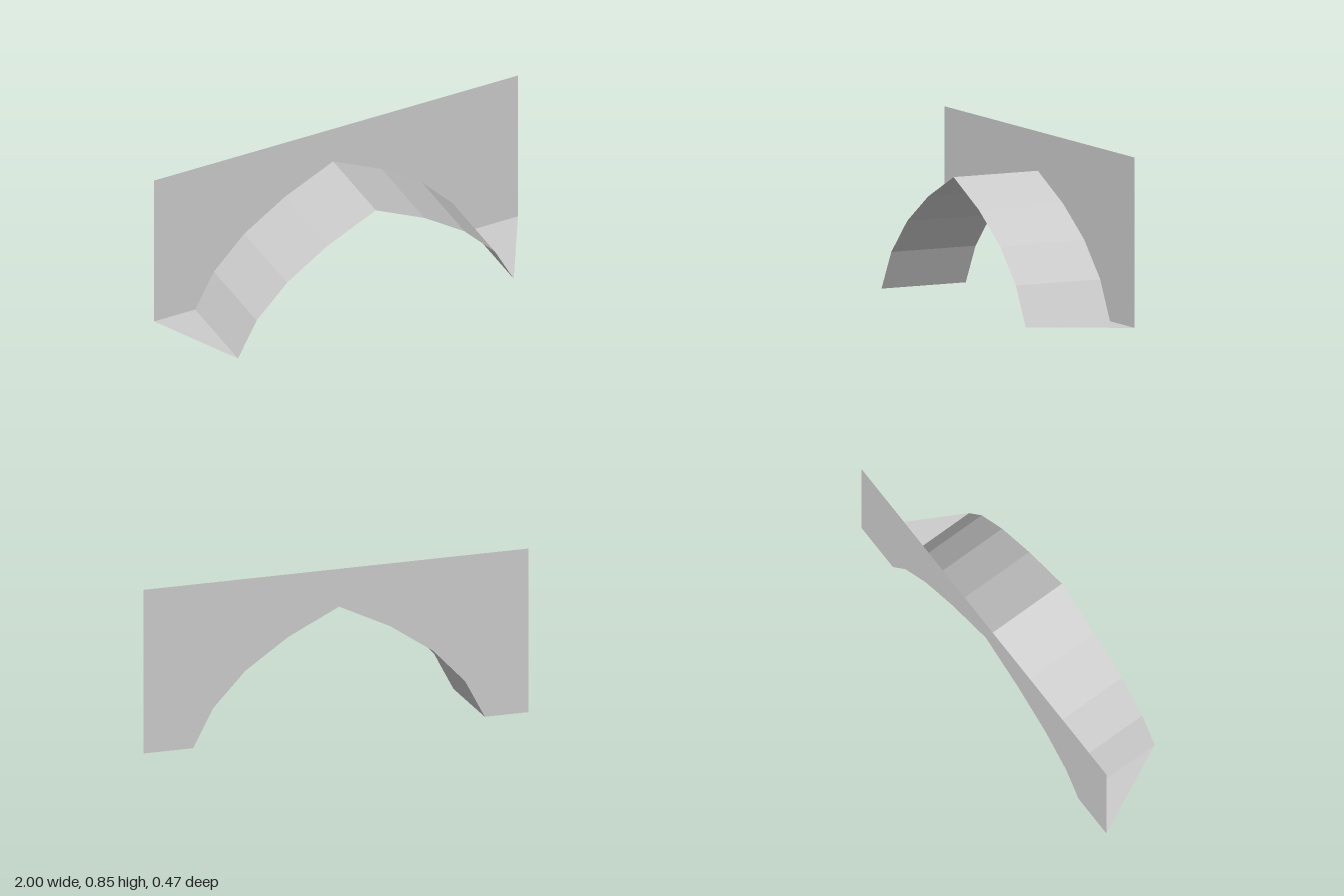
import * as THREE from 'three';

const HALF_DEPTH = 0.234;
const TOP = 0.845;
const AXIS = -0.016; // the arch sits slightly off centre

// Half of the arch curve, from foot to apex: [distance from axis, height]
const HALF_ARCH = [[0.758, 0], [0.655, 0.195], [0.488, 0.37], [0.267, 0.52], [0, 0.65]];
const ARCH = [
  ...HALF_ARCH.map(([d, y]) => [AXIS - d, y]),
  ...HALF_ARCH.slice(0, -1).reverse().map(([d, y]) => [AXIS + d, y]),
];

// Unshared corners give each face its own flat normal
function flatGeometry(corners) {
  const geometry = new THREE.BufferGeometry();
  geometry.setAttribute('position', new THREE.Float32BufferAttribute(corners.flat(), 3));
  geometry.computeVertexNormals();
  return geometry;
}

export function createModel() {
  const group = new THREE.Group();
  group.name = 'archway';
  const stone = new THREE.MeshStandardMaterial({ color: 0xcccccc, side: THREE.DoubleSide });
  stone.name = 'grey stone';

  function add(name, geometry) {
    const mesh = new THREE.Mesh(geometry, stone);
    mesh.name = name;
    group.add(mesh);
    return mesh;
  }

  // Thin wall with the arch cut out of its lower edge
  const outline = [[-1, 0], ...ARCH, [1, 0], [1, TOP], [-1, TOP]];
  const wallShape = new THREE.Shape(outline.map(([x, y]) => new THREE.Vector2(x, y)));
  add('wall', new THREE.ShapeGeometry(wallShape)).position.z = -HALF_DEPTH;

  // Faceted arch lining running forward from the wall
  const lining = [];
  for (let i = 0; i < ARCH.length - 1; i++) {
    const [a, b] = [ARCH[i], ARCH[i + 1]];
    const backA = [...a, -HALF_DEPTH], frontA = [...a, HALF_DEPTH];
    const backB = [...b, -HALF_DEPTH], frontB = [...b, HALF_DEPTH];
    lining.push(backA, frontA, frontB, backA, frontB, backB);
  }
  add('archLining', flatGeometry(lining));

  // Triangular feet joining the lining to the wall ends
  for (const side of [-1, 1]) {
    const x = AXIS + side * HALF_ARCH[0][0];
    const foot = [[side, 0, -HALF_DEPTH], [x, 0, -HALF_DEPTH], [x, 0, HALF_DEPTH]];
    if (side > 0) foot.reverse();
    add(side < 0 ? 'rightFoot' : 'leftFoot', flatGeometry(foot));
  }

  return group;
}
